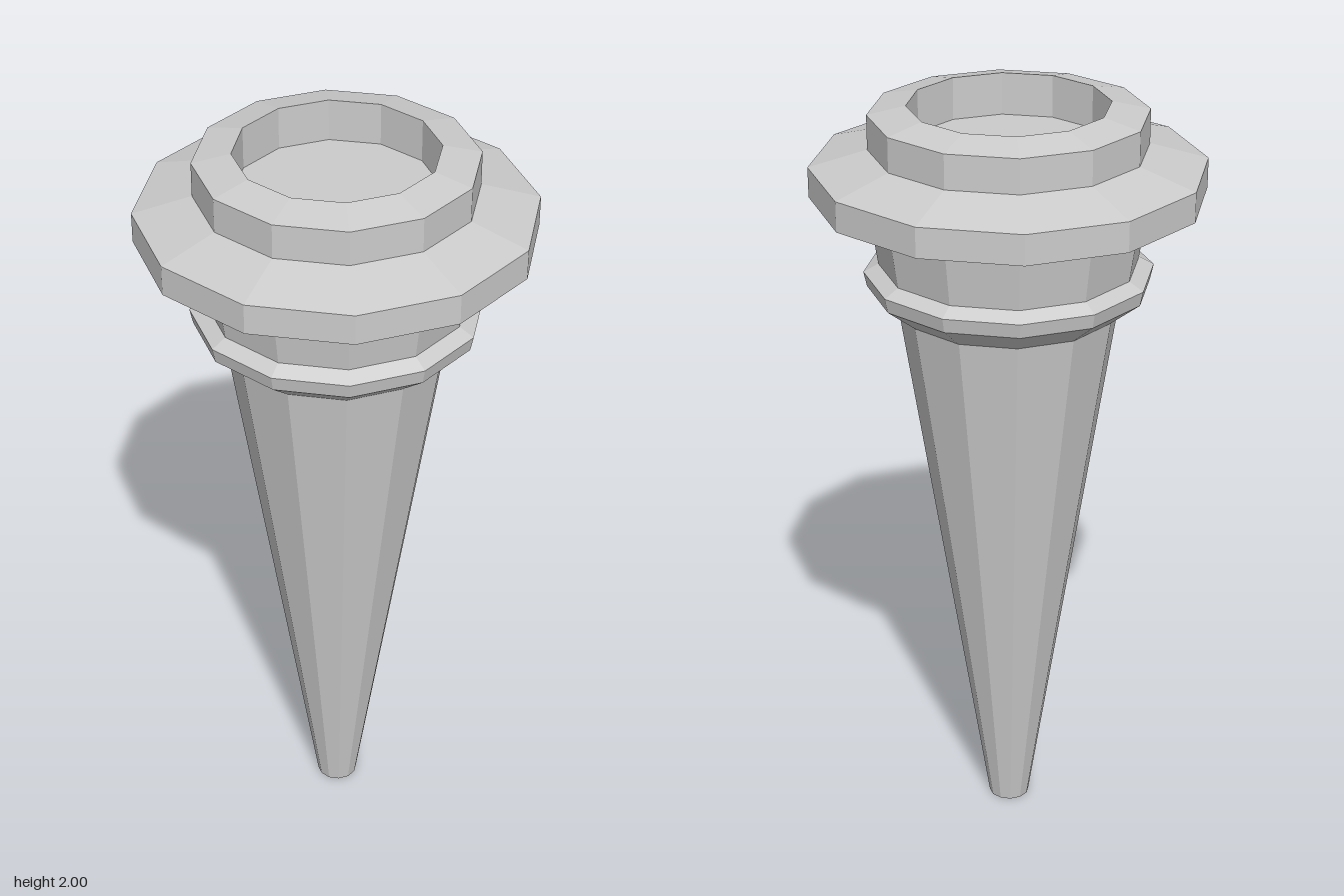
import * as THREE from 'three';

const SIDES = 12;

export function createModel() {
  const group = new THREE.Group();
  const material = new THREE.MeshStandardMaterial({ color: 0xcccccc, flatShading: true });

  // Revolves a [radius, height] profile, listed from the bottom up along the outside
  function turned(name, profile) {
    const points = profile.map(([r, y]) => new THREE.Vector2(r, y));
    const mesh = new THREE.Mesh(new THREE.LatheGeometry(points, SIDES), material);
    mesh.name = name;
    group.add(mesh);
  }

  // Long tapering shaft with a closed blunt tip
  turned('shaft', [[0, 0], [0.054, 0], [0.281, 1.472]]);

  // Flared collar at the head of the shaft
  turned('collar', [[0.281, 1.472], [0.358, 1.533], [0.366, 1.571], [0.328, 1.592]]);

  // Neck widening toward the flange
  turned('neck', [[0.328, 1.592], [0.348, 1.727]]);

  // Wide flange with sloping underside and top
  turned('flange', [[0.348, 1.727], [0.495, 1.772], [0.495, 1.849], [0.348, 1.891]]);

  // Bevelled rim with a flat-floored recess
  turned('rim', [[0.348, 1.891], [0.348, 1.979], [0.252, 2], [0.252, 1.891], [0, 1.891]]);

  return group;
}
